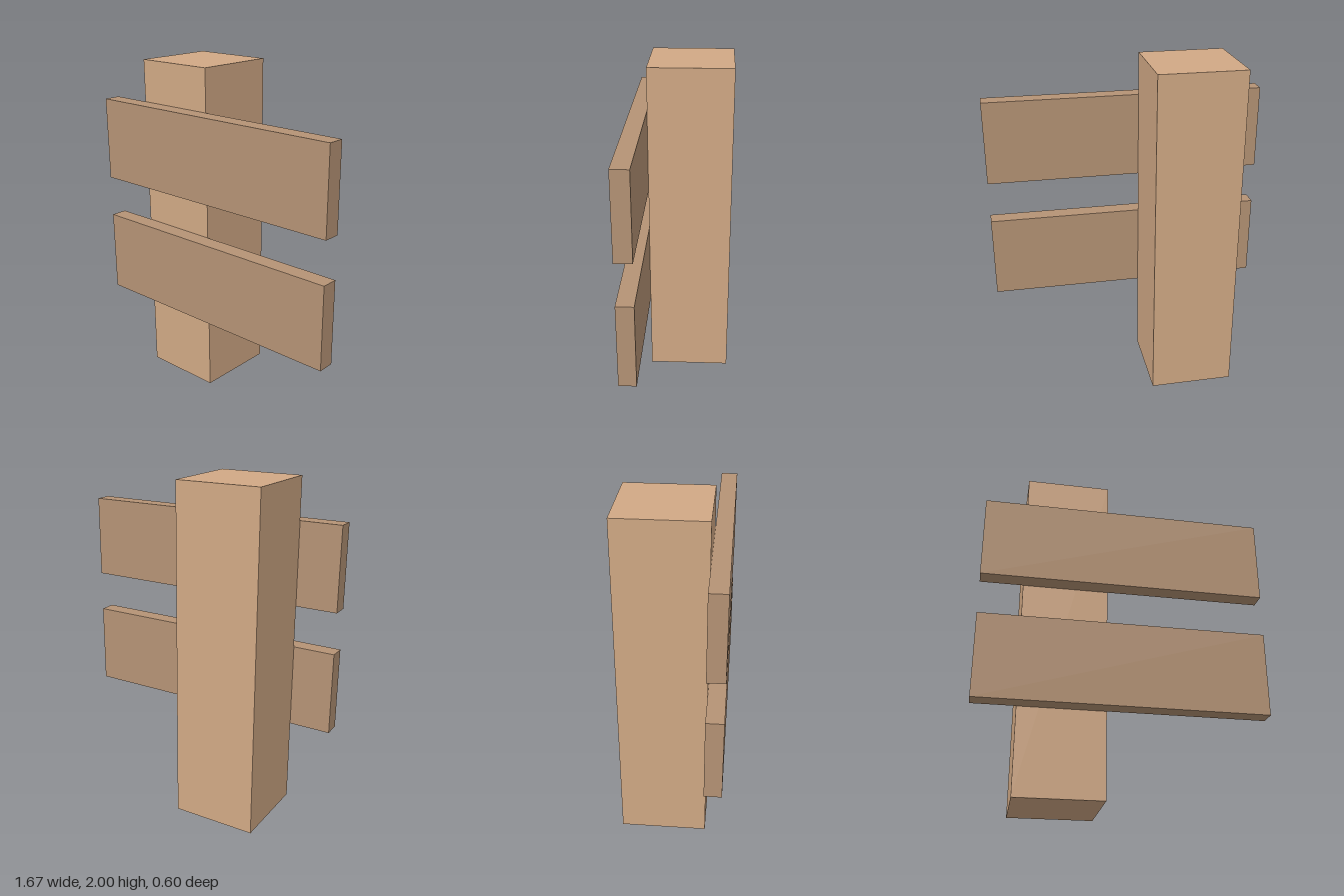
import * as THREE from 'three';

function box(name, size, position, material) {
  const mesh = new THREE.Mesh(new THREE.BoxGeometry(...size), material);
  mesh.name = name;
  mesh.position.set(...position);
  return mesh;
}

export function createModel() {
  const group = new THREE.Group();
  group.name = 'fencePost';
  const postWood = new THREE.MeshStandardMaterial({ color: 0xd1a985, flatShading: true });
  const railWood = new THREE.MeshStandardMaterial({ color: 0xb59375, flatShading: true });

  // Square upright, set off-centre towards -x
  group.add(box('post', [0.5, 2, 0.5], [-0.333, 1, -0.05], postWood));

  // Two flat rails fixed to the front of the post
  [['lowerRail', 0.75], ['upperRail', 1.5]].forEach(([name, y]) => {
    group.add(box(name, [1.667, 0.5, 0.1], [0, y, 0.25], railWood));
  });

  return group;
}
